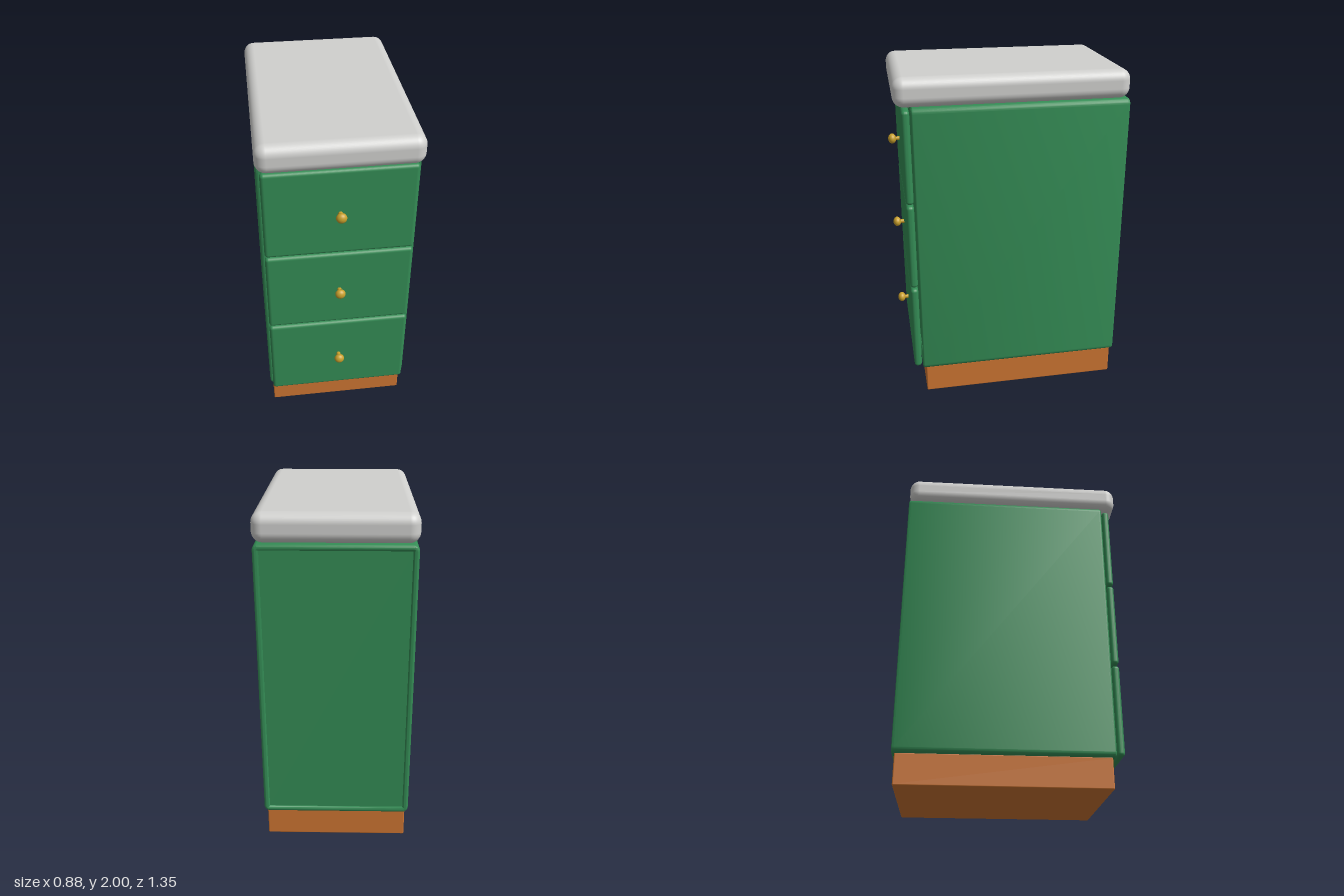
import * as THREE from 'three';
import { toCreasedNormals } from 'three/addons/utils/BufferGeometryUtils.js';
import { RoundedBoxGeometry } from 'three/addons/geometries/RoundedBoxGeometry.js';

const paint = (name, color) => Object.assign(new THREE.MeshStandardMaterial({ color }), { name });

// Rounded rectangle centred on the origin
function roundedRect(Type, hx, hy, r) {
  const p = new Type();
  p.absarc(hx - r, hy - r, r, 0, Math.PI / 2);
  p.absarc(-hx + r, hy - r, r, Math.PI / 2, Math.PI);
  p.absarc(-hx + r, -hy + r, r, Math.PI, Math.PI * 1.5);
  p.absarc(hx - r, -hy + r, r, Math.PI * 1.5, Math.PI * 2);
  p.closePath();
  return p;
}

export function createModel() {
  const group = new THREE.Group();
  group.name = 'drawerCabinet';
  const green = paint('green paint', 0x348c55);
  const wood = paint('orange wood', 0xcd7532);
  const stone = paint('pale grey stone', 0xd0d0ce);
  const brass = paint('brass', 0xc9a02c);

  const add = (name, geometry, material, parent = group) => {
    const mesh = new THREE.Mesh(geometry, material);
    mesh.name = name;
    parent.add(mesh);
    return mesh;
  };
  // Rounded box given by its limits on each axis
  const box = (name, material, [x0, x1], [y0, y1], [z0, z1], r, parent) => {
    const mesh = add(name, new RoundedBoxGeometry(x1 - x0, y1 - y0, z1 - z0, 5, r), material, parent);
    mesh.position.set((x0 + x1) / 2, (y0 + y1) / 2, (z0 + z1) / 2);
    return mesh;
  };

  // Plinth and worktop
  box('plinth', wood, [-0.415, 0.415], [0, 0.18], [-0.658, 0.538], 0.007);
  box('worktop', stone, [-0.44, 0.44], [1.835, 2], [-0.675, 0.652], 0.06);

  // Carcass: a rounded sleeve with recessed front and back panels
  const bevel = 0.015, hx = 0.434, hy = 0.832;
  const outline = roundedRect(THREE.Shape, hx - bevel, hy - bevel, 0.018);
  outline.holes.push(roundedRect(THREE.Path, hx - 0.019, hy - 0.019, 0.014));
  const sleeve = new THREE.ExtrudeGeometry(outline, {
    depth: 1.233 - 2 * bevel, bevelSize: bevel, bevelThickness: bevel, bevelSegments: 5, curveSegments: 6,
  });
  add('carcass', toCreasedNormals(sleeve, 0.7), green).position.set(0, 1.005, -0.675 + bevel);
  add('innerPanels', new THREE.BoxGeometry(0.82, 1.62, 1.209), green).position.set(0, 1.005, -0.0585);

  // Knob profile: thin stem with a flattened ball on the end
  const profile = [new THREE.Vector2(0.013, 0), new THREE.Vector2(0.011, 0.026)];
  for (let i = 2; i <= 14; i++) {
    const a = (i / 14) * Math.PI;
    profile.push(new THREE.Vector2(i === 14 ? 0 : Math.sin(a) * 0.03, 0.047 - Math.cos(a) * 0.024));
  }
  const knobGeometry = new THREE.LatheGeometry(profile, 28).rotateX(Math.PI / 2);

  // Drawers, bottom to top
  [[0.187, 0.732, 0.46], [0.743, 1.266, 1.004], [1.274, 1.82, 1.548]].forEach(([y0, y1, knobY], i) => {
    const drawer = new THREE.Group();
    drawer.name = `drawer${i + 1}`;
    group.add(drawer);
    box('drawerFront', green, [-0.417, 0.417], [y0, y1], [0.564, 0.609], 0.02, drawer);
    add('knob', knobGeometry, brass, drawer).position.set(0, knobY, 0.605);
  });

  return group;
}
